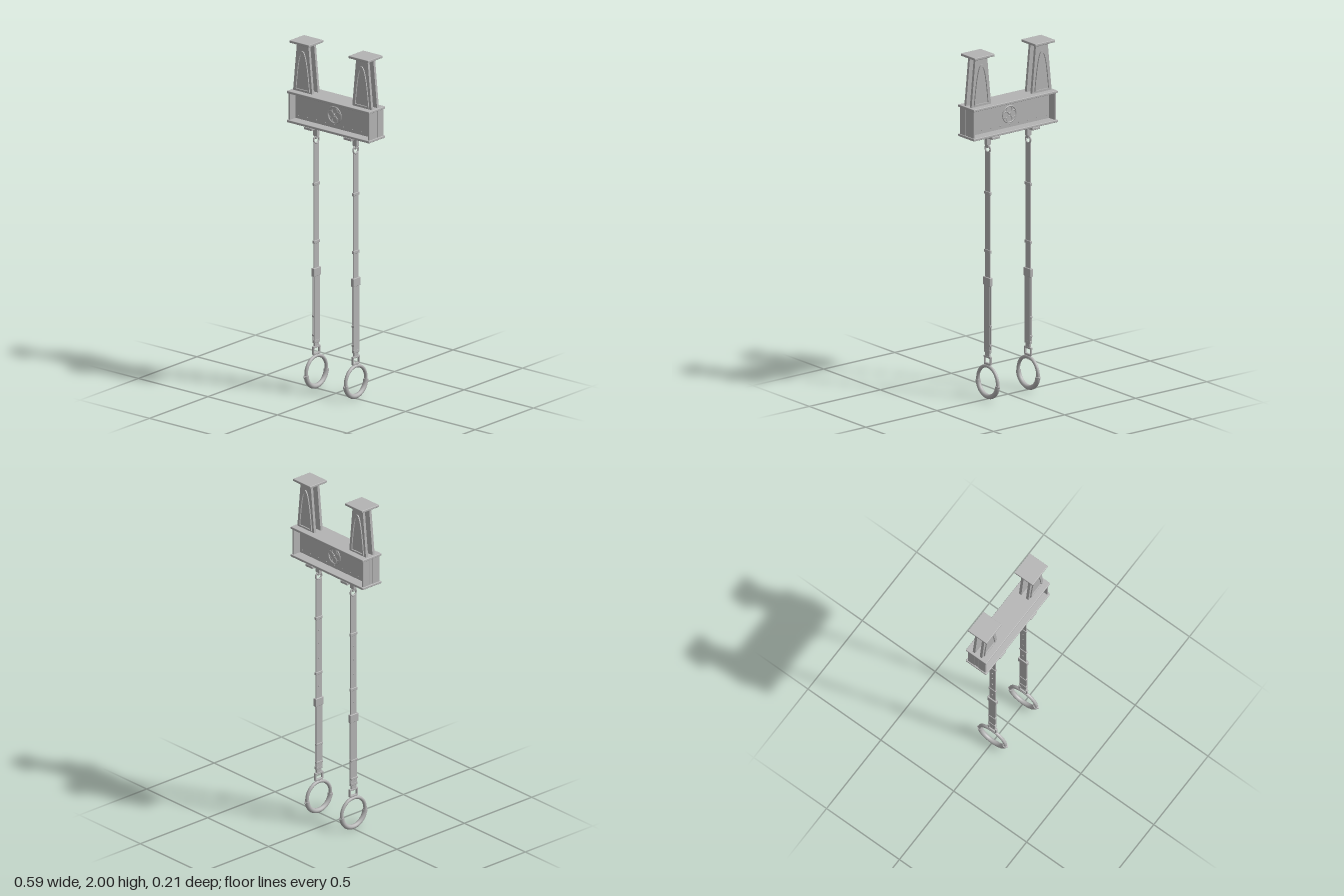
import * as THREE from 'three';
import { RoundedBoxGeometry } from 'three/addons/geometries/RoundedBoxGeometry.js';

const steel = new THREE.MeshStandardMaterial({ color: 0xb4b4b4 });
steel.name = 'grey steel';

function add(parent, name, geo, x = 0, y = 0, z = 0) {
  const m = new THREE.Mesh(geo, steel);
  m.name = name;
  m.position.set(x, y, z);
  parent.add(m);
  return m;
}

// softly rounded box given by its bottom and top heights
function slab(parent, name, w, d, y0, y1, x = 0, z = 0) {
  const h = y1 - y0;
  const r = Math.min(0.003, Math.min(w, h, d) * 0.2);
  return add(parent, name, new RoundedBoxGeometry(w, h, d, 2, r), x, (y0 + y1) / 2, z);
}

// flat shape in the xy plane, centred in depth
function plate(shape, depth) {
  return new THREE.ExtrudeGeometry(shape, { depth, bevelEnabled: false, curveSegments: 16 })
    .translate(0, 0, -depth / 2);
}

// outline of a pointed, parabola-like arch
function archPoints(half, y0, y1) {
  const pts = [];
  for (let i = 0; i <= 24; i++) {
    const t = i / 12 - 1;
    pts.push(new THREE.Vector2(half * t, y0 + (y1 - y0) * (1 - Math.pow(Math.abs(t), 2.3))));
  }
  return pts;
}

// tapered twin-plate post with arch trim and a cap
function makePost(x) {
  const g = new THREE.Group();
  g.name = 'post';
  g.position.x = x;
  const side = new THREE.Shape([
    new THREE.Vector2(-0.069, 1.705), new THREE.Vector2(0.069, 1.705),
    new THREE.Vector2(0.041, 1.985), new THREE.Vector2(-0.041, 1.985),
  ]);
  const trim = new THREE.Shape(archPoints(0.053, 1.715, 1.945));
  trim.holes.push(new THREE.Path(archPoints(0.044, 1.722, 1.932).reverse()));
  for (const s of [-1, 1]) {
    add(g, 'postPlate', plate(side, 0.016), 0, 0, s * 0.024);
    add(g, 'archTrim', plate(trim, 0.008), 0, 0, s * 0.035);
  }
  slab(g, 'capNeck', 0.1, 0.09, 1.978, 1.987);
  slab(g, 'cap', 0.141, 0.126, 1.986, 2);
  return g;
}

// I-section beam with end stiffeners, rivets and rosettes
function makeBeam() {
  const g = new THREE.Group();
  g.name = 'beam';
  slab(g, 'topFlange', 0.592, 0.14, 1.693, 1.707);
  slab(g, 'bottomFlange', 0.592, 0.14, 1.525, 1.539);
  slab(g, 'web', 0.576, 0.024, 1.535, 1.697);
  const rivet = new THREE.SphereGeometry(0.0035, 8, 6);
  for (const s of [-1, 1]) {
    for (const e of [-1, 1]) slab(g, 'endStiffener', 0.01, 0.05, 1.535, 1.697, e * 0.285, s * 0.036);
    for (let i = 0; i < 9; i++) {
      for (const y of [1.557, 1.675]) add(g, 'rivet', rivet, -0.26 + i * 0.065, y, s * 0.012);
    }
    // rosette: outer ring, four small rings and a hub
    const rosette = new THREE.Group();
    rosette.name = 'rosette';
    rosette.position.set(0, 1.614, s * 0.013);
    add(rosette, 'rosetteRing', new THREE.TorusGeometry(0.047, 0.004, 8, 40));
    for (let i = 0; i < 4; i++) {
      const a = i * Math.PI / 2;
      add(rosette, 'rosetteLobe', new THREE.TorusGeometry(0.019, 0.003, 6, 20),
        Math.cos(a) * 0.027, Math.sin(a) * 0.027);
    }
    add(rosette, 'rosetteHub', new THREE.SphereGeometry(0.006, 10, 8));
    g.add(rosette);
  }
  return g;
}

// torus arc in the yz plane
function sideTorus(R, r, start = 0, arc = Math.PI * 2) {
  return new THREE.TorusGeometry(R, r, 12, 48, arc).rotateZ(start).rotateY(-Math.PI / 2);
}

// bracket, strap, buckles and hand ring
function makeHanger(x) {
  const g = new THREE.Group();
  g.name = 'hanger';
  g.position.x = x;

  // fixing under the beam
  slab(g, 'bracket', 0.055, 0.146, 1.511, 1.526);
  slab(g, 'shank', 0.032, 0.024, 1.463, 1.512);
  slab(g, 'shankTip', 0.016, 0.02, 1.445, 1.465);
  add(g, 'eye', sideTorus(0.021, 0.005), 0, 1.44, 0);

  // strap, doubled below the buckle
  slab(g, 'upperStrap', 0.006, 0.042, 0.66, 1.424);
  for (const s of [-1, 1]) slab(g, 'lowerStrap', 0.005, 0.046, 0.28, 0.67, s * 0.005);
  for (const y of [0.85, 1.185]) slab(g, 'strapBand', 0.014, 0.05, y - 0.009, y + 0.009);
  slab(g, 'buckle', 0.02, 0.06, 0.652, 0.7);

  // fittings on the strap's right face
  for (const y of [0.31, 0.42]) slab(g, 'lowerBand', 0.016, 0.05, y - 0.006, y + 0.006, -0.003);
  const stud = new THREE.CylinderGeometry(0.005, 0.005, 0.006, 10).rotateZ(Math.PI / 2);
  for (const y of [0.77, 0.94, 1.03, 1.11]) add(g, 'strapStud', stud, -0.003, y, 0);

  // clip between strap and hand ring
  slab(g, 'strapEnd', 0.016, 0.048, 0.266, 0.284);
  slab(g, 'clipNeck', 0.012, 0.036, 0.24, 0.268);
  slab(g, 'clipTop', 0.014, 0.06, 0.236, 0.247);
  slab(g, 'clipBottom', 0.014, 0.05, 0.196, 0.208);
  for (const s of [-1, 1]) slab(g, 'clipSide', 0.012, 0.009, 0.2, 0.24, 0, s * 0.025);

  // hand ring with thicker lower grip, side collars and pointed studs
  const cy = 0.101, R = 0.087, drop = 0.17;
  add(g, 'handRing', sideTorus(R, 0.01), 0, cy, 0);
  add(g, 'grip', sideTorus(R, 0.014, Math.PI + drop, Math.PI - 2 * drop), 0, cy, 0);
  const tip = new THREE.CylinderGeometry(0.003, 0.009, 0.012, 12);
  for (const s of [-1, 1]) {
    const y = cy - Math.sin(drop) * R, z = s * Math.cos(drop) * R;
    const collar = add(g, 'gripCollar', new THREE.CylinderGeometry(0.0145, 0.0145, 0.014, 16), 0, y, z);
    collar.rotation.x = s * drop;
    add(g, 'collarStud', tip, 0, y, z + s * 0.0125).rotation.x = s * Math.PI / 2;
  }
  return g;
}

export function createModel() {
  const model = new THREE.Group();
  model.name = 'hangingRings';
  model.add(makeBeam());
  for (const s of [-1, 1]) {
    model.add(makePost(s * 0.213));
    model.add(makeHanger(s * 0.142));
  }
  return model;
}
